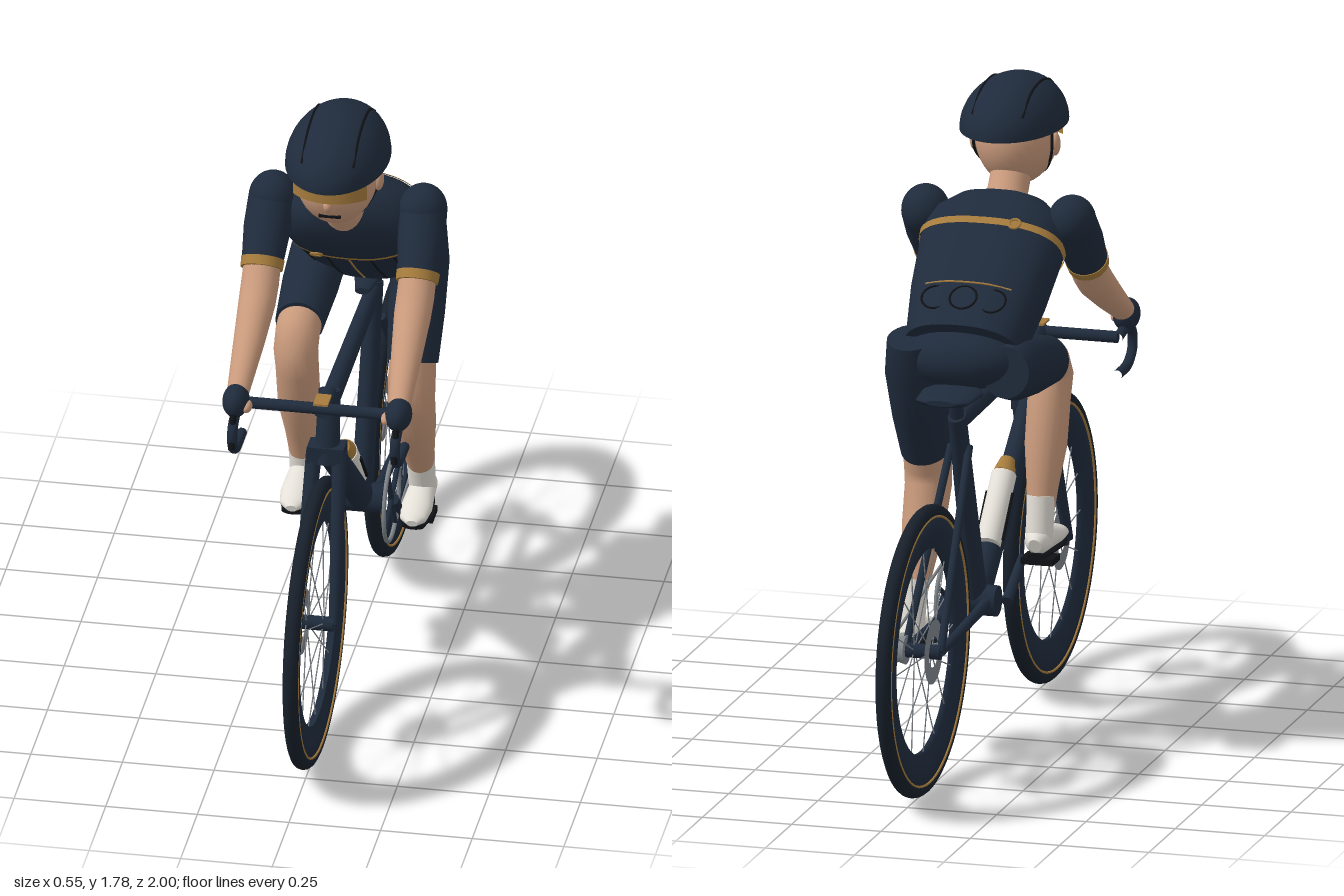
import * as THREE from 'three';

const mat = (name, color, side = THREE.FrontSide) => {
  const m = new THREE.MeshStandardMaterial({ color, side });
  m.name = name;
  return m;
};
const navy = mat('navy', 0x1f2b3c), tyreDark = mat('tyre dark', 0x18202b), black = mat('black', 0x101216);
const skin = mat('skin', 0xc99a7c), gold = mat('gold', 0xa67c3d, THREE.DoubleSide), white = mat('off white', 0xe4e0d8);
const grey = mat('metal grey', 0x80858a, THREE.DoubleSide);

const V = (x, y, z) => new THREE.Vector3(x, y, z);
const XAXIS = V(1, 0, 0);

function add(parent, name, geometry, material, pos) {
  const m = new THREE.Mesh(geometry, material);
  m.name = name;
  if (pos) m.position.set(...pos);
  parent.add(m);
  return m;
}

// Skin of elliptical rings; stations are [x, y, z, rx, rDepth]
function loft(st, { p = 2, n = 28, caps = true } = {}) {
  const pos = [], idx = [], c = st.map(s => V(s[0], s[1], s[2]));
  const sp = v => Math.sign(v) * Math.abs(v) ** (2 / p);
  st.forEach((s, i) => {
    const t = c[Math.min(i + 1, c.length - 1)].clone().sub(c[Math.max(i - 1, 0)]).normalize();
    const d = t.cross(XAXIS).normalize();
    for (let j = 0; j <= n; j++) {
      const a = (j % n) / n * Math.PI * 2, u = s[3] * sp(Math.cos(a)), w = (s[4] ?? s[3]) * sp(Math.sin(a));
      pos.push(c[i].x + u, c[i].y + d.y * w, c[i].z + d.z * w);
    }
  });
  const row = n + 1;
  for (let i = 0; i < st.length - 1; i++) for (let j = 0; j < n; j++) {
    const a = i * row + j, b = a + 1, e = a + row;
    idx.push(a, b, e, b, e + 1, e);
  }
  if (caps) for (const i of [0, st.length - 1]) {
    const base = pos.length / 3;
    pos.push(c[i].x, c[i].y, c[i].z);
    for (let k = 0; k < row * 3; k++) pos.push(pos[i * row * 3 + k]);
    for (let j = 1; j <= n; j++) i ? idx.push(base, base + j, base + j + 1) : idx.push(base, base + j + 1, base + j);
  }
  const g = new THREE.BufferGeometry();
  g.setAttribute('position', new THREE.Float32BufferAttribute(pos, 3));
  g.setIndex(idx);
  g.computeVertexNormals();
  return g;
}

// Straight bar between two points
function rod(parent, name, a, b, r, material, r2 = r, sides = 14) {
  const A = V(...a), B = V(...b), d = B.clone().sub(A);
  const m = add(parent, name, new THREE.CylinderGeometry(r2, r, d.length(), sides), material);
  m.position.copy(A).add(B).multiplyScalar(0.5);
  m.quaternion.setFromUnitVectors(V(0, 1, 0), d.normalize());
  return m;
}
const tube = (pts, r, seg = 30, sides = 10) =>
  new THREE.TubeGeometry(new THREE.CatmullRomCurve3(pts.map(p => V(...p))), seg, r, sides);

function ellipsoid(parent, name, pos, size, material) {
  const m = add(parent, name, new THREE.SphereGeometry(1, 32, 20), material, pos);
  m.scale.set(...size);
  return m;
}

function wheel(name, z) {
  const g = new THREE.Group();
  g.name = name;
  const turn = m => { m.rotation.y = Math.PI / 2; return m; };
  turn(add(g, 'tyre', new THREE.TorusGeometry(0.376, 0.021, 14, 72), tyreDark));
  const prof = [[0.28, -0.009], [0.33, -0.018], [0.368, -0.016], [0.368, 0.016], [0.33, 0.018], [0.28, 0.009], [0.28, -0.009]];
  add(g, 'rim', new THREE.LatheGeometry(prof.map(p => new THREE.Vector2(...p)), 72), navy).rotation.z = Math.PI / 2;
  for (const s of [-1, 1])
    turn(add(g, 'tyreStripe', new THREE.TorusGeometry(0.365, 0.0035, 6, 72), gold, [s * 0.018, 0, 0]));
  for (let i = 0; i < 16; i++) {
    const a = i / 16 * Math.PI * 2, c = Math.cos(a), s = Math.sin(a), x = i % 2 ? 0.022 : -0.022;
    rod(g, 'spoke', [x, 0.02 * c, 0.02 * s], [0, 0.285 * c, 0.285 * s], 0.0018, grey, 0.0018, 5);
  }
  rod(g, 'hub', [-0.05, 0, 0], [0.05, 0, 0], 0.02, navy);
  turn(add(g, 'brakeDisc', new THREE.RingGeometry(0.042, 0.088, 40), grey, [-0.03, 0, 0]));
  g.position.set(0, 0.4, z);
  return g;
}

function buildBike() {
  const b = new THREE.Group();
  b.name = 'bicycle';
  b.add(wheel('frontWheel', 0.603), wheel('rearWheel', -0.603));
  // Frame tubes
  const bb = [0, 0.41, -0.095];
  rod(b, 'headTube', [0, 0.8, 0.435], [0, 1.0, 0.39], 0.034, navy, 0.03);
  add(b, 'topTube', loft([[0, 0.965, 0.41, 0.026, 0.03], [0, 0.95, -0.27, 0.022, 0.026]]), navy);
  add(b, 'downTube', loft([[0, 0.83, 0.42, 0.03, 0.038], bb.concat([0.034, 0.042])]), navy);
  add(b, 'seatTube', loft([bb.concat([0.03, 0.036]), [0, 0.97, -0.28, 0.024, 0.034]]), navy);
  rod(b, 'seatPost', [0, 0.95, -0.275], [0, 1.035, -0.3], 0.02, navy);
  rod(b, 'bottomBracket', [-0.06, 0.41, -0.095], [0.06, 0.41, -0.095], 0.042, navy);
  for (const s of [-1, 1]) {
    rod(b, 'forkBlade', [s * 0.035, 0.83, 0.43], [s * 0.05, 0.4, 0.603], 0.022, navy, 0.014);
    rod(b, 'seatStay', [s * 0.025, 0.88, -0.25], [s * 0.05, 0.4, -0.603], 0.011, navy);
    rod(b, 'chainStay', [s * 0.035, 0.41, -0.1], [s * 0.05, 0.4, -0.603], 0.016, navy, 0.012);
  }
  add(b, 'forkCrown', new THREE.BoxGeometry(0.1, 0.05, 0.06), navy, [0, 0.83, 0.43]);
  add(b, 'saddle', loft([[0, 1.045, -0.44, 0.04, 0.008], [0, 1.045, -0.42, 0.075, 0.016], [0, 1.045, -0.32, 0.085, 0.018],
    [0, 1.04, -0.2, 0.04, 0.018], [0, 1.035, -0.1, 0.02, 0.01]]), navy);
  // Cockpit
  rod(b, 'stem', [0, 0.99, 0.395], [0, 1.0, 0.51], 0.024, navy);
  add(b, 'stemCap', new THREE.BoxGeometry(0.04, 0.006, 0.06), gold, [0, 1.026, 0.5]);
  rod(b, 'handlebar', [-0.22, 1.0, 0.5], [0.22, 1.0, 0.5], 0.016, navy);
  for (const s of [-1, 1]) {
    const x = s * 0.222;
    add(b, 'drop', tube([[x, 1.0, 0.49], [x, 1.01, 0.57], [x, 0.985, 0.625], [x, 0.94, 0.63], [x, 0.905, 0.59], [x, 0.898, 0.485]], 0.014), navy);
    rod(b, 'brakeLever', [x, 1.03, 0.61], [x, 0.93, 0.645], 0.009, black);
  }
  // Drivetrain
  add(b, 'chainring', new THREE.TorusGeometry(0.115, 0.006, 8, 48), grey, [0.08, 0.41, -0.095]).rotation.y = Math.PI / 2;
  for (let i = 0; i < 4; i++) {
    const a = i * Math.PI / 2 + 0.5;
    rod(b, 'chainringArm', [0.08, 0.41, -0.095], [0.08, 0.41 + 0.113 * Math.cos(a), -0.095 + 0.113 * Math.sin(a)], 0.007, navy);
  }
  rod(b, 'rearCog', [0.045, 0.4, -0.603], [0.08, 0.4, -0.603], 0.04, grey, 0.03, 24);
  for (const s of [-1, 1])
    rod(b, 'chain', [0.08, 0.41 + s * 0.115, -0.11], [0.08, 0.4 + s * 0.038, -0.603], 0.004, grey, 0.004, 6);
  for (const [s, y, z] of [[1, 0.315, -0.2], [-1, 0.495, 0.05]]) {
    rod(b, 'crankArm', [s * 0.085, 0.41, -0.095], [s * 0.085, y, z], 0.016, navy, 0.012);
    add(b, 'pedal', new THREE.BoxGeometry(0.09, 0.018, 0.07), black, [s * 0.135, y, z]);
  }
  // Bottle standing on the down tube
  rod(b, 'bottle', [0, 0.535, 0.015], [0, 0.69, 0.165], 0.034, white, 0.034, 24);
  rod(b, 'bottleCap', [0, 0.69, 0.165], [0, 0.722, 0.2], 0.032, gold, 0.02, 20);
  for (const s of [-1, 1]) rod(b, 'bottleCage', [s * 0.035, 0.545, 0.03], [s * 0.035, 0.65, 0.125], 0.005, black);
  return b;
}

function buildTorso() {
  const t = new THREE.Group(), P = 2.4;
  t.name = 'torso';
  const prof = [[0, 0.16, 0.113], [0.18, 0.185, 0.12], [0.36, 0.198, 0.118], [0.43, 0.185, 0.1], [0.485, 0.13, 0.072], [0.515, 0.06, 0.035]];
  const at = y => {
    const i = Math.max(1, prof.findIndex(q => q[0] >= y)), a = prof[i - 1], c = prof[i], k = (y - a[0]) / (c[0] - a[0]);
    return [a[1] + (c[1] - a[1]) * k, a[2] + (c[2] - a[2]) * k];
  };
  const surf = (x, y, s) => { const [rx, rz] = at(y); return [x, y, s * rz * (1 - (Math.abs(x) / rx) ** P) ** (1 / P)]; };
  add(t, 'jersey', loft(prof.map(q => [0, q[0], 0, q[1], q[2]]), { p: P, n: 40 }), navy);
  const band = [0.335, 0.357].map(y => { const [a, c] = at(y); return [0, y, 0, a + 0.004, c + 0.004]; });
  add(t, 'chestBand', loft(band, { p: P, n: 40, caps: false }), gold);
  for (const s of [-1, 1]) add(t, 'bandBuckle', new THREE.TorusGeometry(0.015, 0.004, 6, 20), gold, surf(-0.085, 0.345, s * 1.05));
  for (const x of [-0.12, -0.06, 0, 0.06, 0.12])
    add(t, 'frontSeam', tube([0.02, 0.12, 0.22, 0.32].map(y => surf(x, y, 1)), 0.003, 12, 6), x ? black : gold);
  // Back pockets
  for (const x of [-0.08, 0, 0.08]) add(t, 'pocket', new THREE.TorusGeometry(0.037, 0.003, 6, 28), black, surf(x, 0.09, -1));
  add(t, 'pocketTrim', tube([-0.12, -0.06, 0, 0.06, 0.12].map(x => surf(x, 0.14, -1)), 0.003, 16, 6), gold);
  t.position.set(0, 1.137, -0.22);
  t.rotation.x = 0.898;
  return t;
}

function buildHead() {
  const h = new THREE.Group();
  h.name = 'head';
  add(h, 'neck', loft([[0, 1.4, 0.13, 0.07], [0, 1.47, 0.2, 0.055], [0, 1.55, 0.26, 0.055]]), skin);
  ellipsoid(h, 'face', [0, 1.6, 0.285], [0.11, 0.13, 0.125], skin);
  ellipsoid(h, 'nose', [0, 1.575, 0.41], [0.014, 0.02, 0.018], skin);
  add(h, 'mouth', new THREE.BoxGeometry(0.06, 0.007, 0.008), black, [0, 1.53, 0.39]);
  add(h, 'visor', new THREE.CylinderGeometry(0.137, 0.137, 0.052, 24, 1, true, -0.83, 1.66), gold, [0, 1.613, 0.29]);
  // Helmet shell with vent grooves
  const shell = new THREE.SphereGeometry(1, 40, 16, 0, Math.PI * 2, 0, Math.PI / 2);
  add(h, 'helmet', shell, navy, [0, 1.643, 0.262]).scale.set(0.14, 0.136, 0.218);
  const base = add(h, 'helmetBase', new THREE.CircleGeometry(1, 40), black, [0, 1.643, 0.262]);
  base.rotation.x = Math.PI / 2;
  base.scale.set(0.14, 0.218, 1);
  for (const x of [-0.07, 0.07]) {
    const pts = [-0.75, -0.4, 0, 0.4, 0.75].map(w => [x, 1.643 + 0.136 * Math.sqrt(1 - (x / 0.14) ** 2 - w * w), 0.262 + 0.218 * w]
      .map(v => Number.isNaN(v) ? 1.66 : v));
    add(h, 'helmetVent', tube(pts, 0.004, 24, 6), black);
  }
  for (const s of [-1, 1]) {
    ellipsoid(h, 'ear', [s * 0.112, 1.59, 0.27], [0.014, 0.032, 0.022], skin);
    add(h, 'strap', tube([[s * 0.11, 1.645, 0.25], [s * 0.107, 1.565, 0.25], [s * 0.07, 1.505, 0.3], [0, 1.472, 0.31]], 0.004, 20, 6), black);
  }
  return h;
}

function buildArm(s) {
  const a = new THREE.Group();
  a.name = s > 0 ? 'leftArm' : 'rightArm';
  const x = s * 0.212;
  ellipsoid(a, 'shoulder', [s * 0.205, 1.425, 0.115], [0.065, 0.07, 0.07], navy);
  add(a, 'sleeve', loft([[s * 0.205, 1.43, 0.11, 0.065], [s * 0.21, 1.36, 0.17, 0.064], [x, 1.285, 0.235, 0.056]]), navy);
  add(a, 'cuff', loft([[x, 1.292, 0.229, 0.059], [x, 1.272, 0.246, 0.057]]), gold);
  add(a, 'forearm', loft([[x, 1.3, 0.22, 0.05], [x, 1.24, 0.27, 0.051], [x, 1.205, 0.315, 0.05], [s * 0.215, 1.14, 0.42, 0.042], [s * 0.22, 1.06, 0.555, 0.03]]), skin);
  ellipsoid(a, 'glove', [s * 0.222, 1.045, 0.575], [0.036, 0.045, 0.052], navy);
  ellipsoid(a, 'thumb', [s * 0.19, 1.035, 0.585], [0.014, 0.016, 0.024], skin);
  return a;
}

// Side, shorts stations, leg stations, ankle and sole
function buildLeg(s, shorts, leg, [ay, az], heelZ, soleY) {
  const g = new THREE.Group();
  g.name = s > 0 ? 'leftLeg' : 'rightLeg';
  const x = s * 0.135, on = st => st.map(([y, z, r, d]) => [x, y, z, r, d ?? r]);
  add(g, 'shorts', loft(on(shorts)), navy);
  add(g, 'bareLeg', loft(on(leg)), skin);
  add(g, 'sock', loft(on([[ay + 0.07, az + (s > 0 ? 0.025 : 0.01), 0.039], [ay - 0.06, az - 0.01, 0.036]])), white);
  const shoe = [[0, 0.035, 0.018, 0.02], [0.02, 0.042, 0.034, 0.036], [0.08, 0.042, 0.038, 0.038], [0.15, 0.032, 0.043, 0.027], [0.2, 0.026, 0.036, 0.02], [0.222, 0.022, 0.015, 0.01]];
  add(g, 'shoe', loft(shoe.map(q => [x, soleY + q[1], heelZ + q[0], q[2], q[3]])), white);
  add(g, 'sole', loft([[0.005, 0.024], [0.06, 0.034], [0.15, 0.042], [0.205, 0.03]].map(q => [x, soleY + 0.004, heelZ + q[0], q[1], 0.009])), black);
  return g;
}

export function createModel() {
  const model = new THREE.Group();
  model.name = 'cyclist';
  const rider = new THREE.Group();
  rider.name = 'rider';
  rider.add(buildTorso(), buildHead(), buildArm(1), buildArm(-1));
  ellipsoid(rider, 'hips', [0, 1.12, -0.235], [0.16, 0.085, 0.1], navy);
  rider.add(
    buildLeg(1, [[1.17, -0.255, 0.066, 0.07], [1.08, -0.23, 0.078, 0.088], [0.95, -0.17, 0.076, 0.088], [0.83, -0.112, 0.069, 0.08]],
      [[0.86, -0.125, 0.062, 0.072], [0.78, -0.098, 0.064, 0.074], [0.72, -0.095, 0.063, 0.07], [0.62, -0.14, 0.058, 0.064], [0.53, -0.19, 0.046, 0.046], [0.45, -0.235, 0.036]],
      [0.42, -0.25], -0.32, 0.315),
    buildLeg(-1, [[1.1, -0.28, 0.066, 0.07], [1.09, -0.2, 0.078, 0.086], [1.065, -0.06, 0.076, 0.082], [1.035, 0.1, 0.066, 0.068]],
      [[1.04, 0.07, 0.06], [1.025, 0.125, 0.06, 0.062], [0.985, 0.155, 0.06, 0.06], [0.92, 0.135, 0.058, 0.062], [0.8, 0.105, 0.057, 0.065], [0.7, 0.075, 0.044, 0.046], [0.62, 0.055, 0.036]],
      [0.6, 0.05], 0.0, 0.508));
  model.add(buildBike(), rider);
  return model;
}
